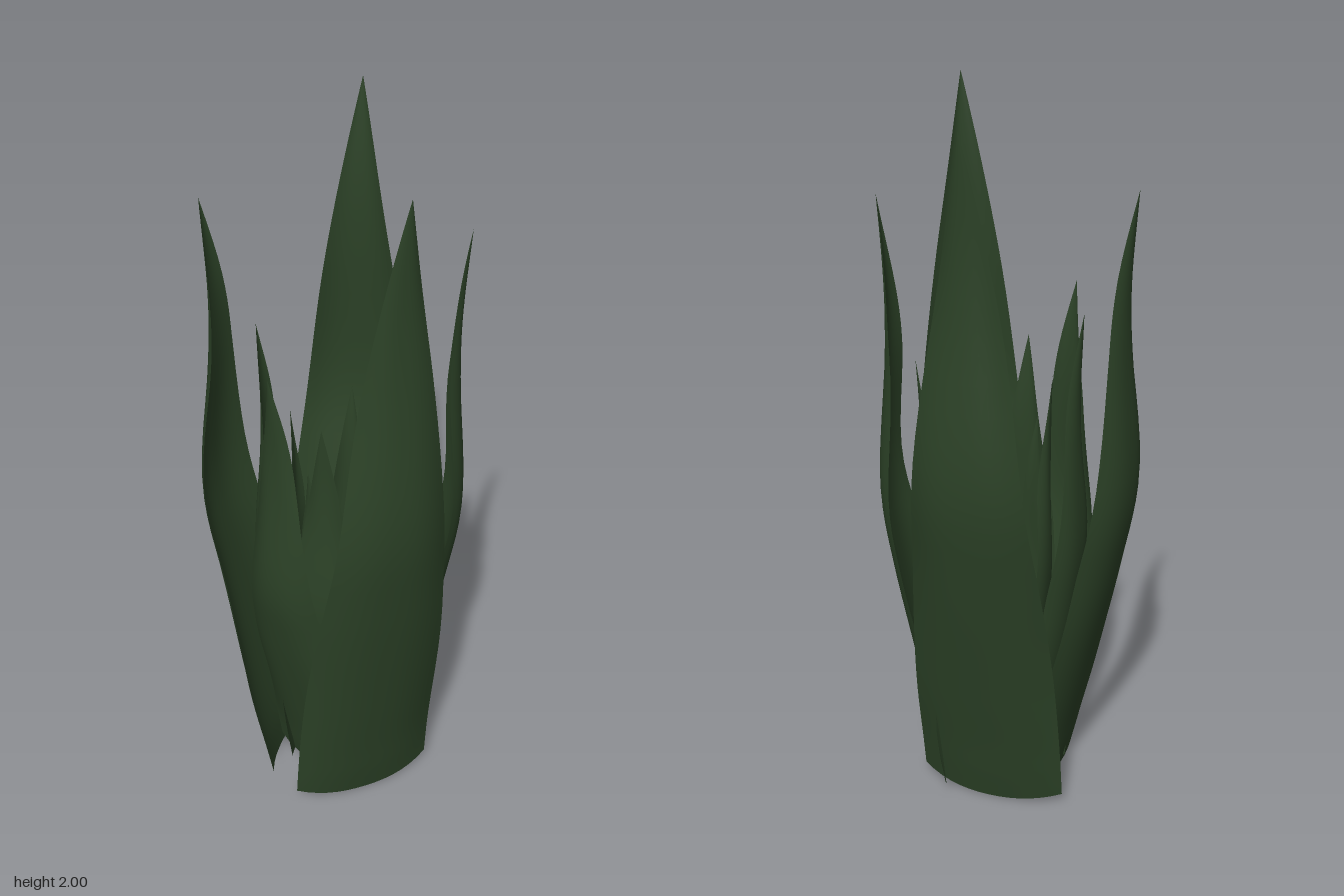
import * as THREE from 'three';

const COLS = 14, ROWS = 36;

// Side profile shared by all leaves: x = outward lean (0 base .. 1 tip), y = height fraction
const profile = new THREE.SplineCurve([
  [0, 0], [0.14, 0.08], [0.4, 0.2], [0.82, 0.4], [1.03, 0.55],
  [0.91, 0.75], [0.9, 0.87], [1, 1],
].map(([x, y]) => new THREE.Vector2(x, y)));

// One blade: azimuth in degrees from +z, base and tip radius, height, half width,
// and sideways shift at the base and at the tip
function leafGeometry({ az, base, radius, height, half, shift = 0, tipShift = shift }, phase) {
  const a = THREE.MathUtils.degToRad(az);
  const out = new THREE.Vector3(Math.sin(a), 0, Math.cos(a));
  const side = new THREE.Vector3(Math.cos(a), 0, -Math.sin(a));
  const pos = [], index = [];

  // Outer sheet, then inner sheet; they meet along the rim
  for (const face of [1, -1]) {
    const start = pos.length / 3;
    for (let j = 0; j <= ROWS; j++) {
      const p = profile.getPoint(j / ROWS);
      const t = Math.min(1, Math.max(0, p.y));
      const w = half * (1 - t ** 1.95);
      const r = THREE.MathUtils.lerp(base, radius, p.x);
      const s = THREE.MathUtils.lerp(shift, tipShift, t);
      const cup = THREE.MathUtils.lerp(0.17, 0.3, Math.min(1, t * 2.5));
      const thick = 0.006 * Math.min(1, t * 20) * (1 - t * t);
      for (let i = 0; i <= COLS; i++) {
        const u = (i / COLS) * 2 - 1;
        const curl = cup * w * Math.abs(u) ** 2.6;
        const ripple = 0.007 * u * u * Math.sin(t * 14 + phase + u) * Math.min(1, 4 * (1 - t));
        const d = r - curl + ripple + face * thick * (1 - u * u);
        const v = out.clone().multiplyScalar(d).addScaledVector(side, s + u * w);
        pos.push(v.x, t * height + 0.035 * u * u * (1 - t) ** 4, v.z);
      }
    }
    for (let j = 0; j < ROWS; j++) {
      for (let i = 0; i < COLS; i++) {
        const p = start + j * (COLS + 1) + i, q = p + COLS + 1;
        if (face > 0) index.push(p, p + 1, q + 1, p, q + 1, q);
        else index.push(p, q + 1, p + 1, p, q, q + 1);
      }
    }
  }
  const g = new THREE.BufferGeometry();
  g.setAttribute('position', new THREE.Float32BufferAttribute(pos, 3));
  g.setIndex(index);
  g.computeVertexNormals();
  return g;
}

const LEAVES = [
  // Tall outer leaves
  { name: 'backOuterLeaf', az: 193, base: 0.16, radius: 0.362, height: 2, half: 0.215, shift: 0.025, tipShift: 0.03 },
  { name: 'frontLeftOuterLeaf', az: 48, base: 0.228, radius: 0.394, height: 2, half: 0.21, shift: -0.02, tipShift: 0 },
  { name: 'rightOuterLeaf', az: 276, base: 0.167, radius: 0.36, height: 1.8, half: 0.195, shift: 0.06 },
  { name: 'leftOuterLeaf', az: 115, base: 0.155, radius: 0.32, height: 1.75, half: 0.175 },
  // Middle leaves
  { name: 'frontMiddleLeaf', az: 348, base: 0.15, radius: 0.305, height: 1.46, half: 0.15 },
  { name: 'rightMiddleLeaf', az: 276, base: 0.12, radius: 0.225, height: 1.46, half: 0.13, shift: 0.045 },
  { name: 'frontLeftMiddleLeaf', az: 45, base: 0.155, radius: 0.315, height: 1.4, half: 0.16 },
  { name: 'backLeftMiddleLeaf', az: 134, base: 0.12, radius: 0.225, height: 1.33, half: 0.125, shift: -0.02, tipShift: 0 },
  // Short inner leaves
  { name: 'frontInnerLeaf', az: 12, base: 0.125, radius: 0.235, height: 1.3, half: 0.13 },
  { name: 'leftInnerLeaf', az: 85, base: 0.105, radius: 0.178, height: 1.24, half: 0.09 },
  { name: 'backInnerLeaf', az: 196, base: 0.06, radius: 0.145, height: 1.2, half: 0.11 },
  { name: 'rightInnerLeaf', az: 282, base: 0.07, radius: 0.125, height: 1.25, half: 0.09, shift: 0.045, tipShift: 0.08 },
  { name: 'frontHeartLeaf', az: 350, base: 0.09, radius: 0.16, height: 1.1, half: 0.095 },
  { name: 'backRightHeartLeaf', az: 242, base: 0.04, radius: 0.1, height: 0.95, half: 0.075 },
];

export function createModel() {
  const plant = new THREE.Group();
  plant.name = 'leafRosette';
  const green = new THREE.MeshStandardMaterial({ color: 0x2c4227, side: THREE.DoubleSide });
  LEAVES.forEach((leaf, i) => {
    const mesh = new THREE.Mesh(leafGeometry(leaf, i * 2.4), green);
    mesh.name = leaf.name;
    plant.add(mesh);
  });
  return plant;
}
